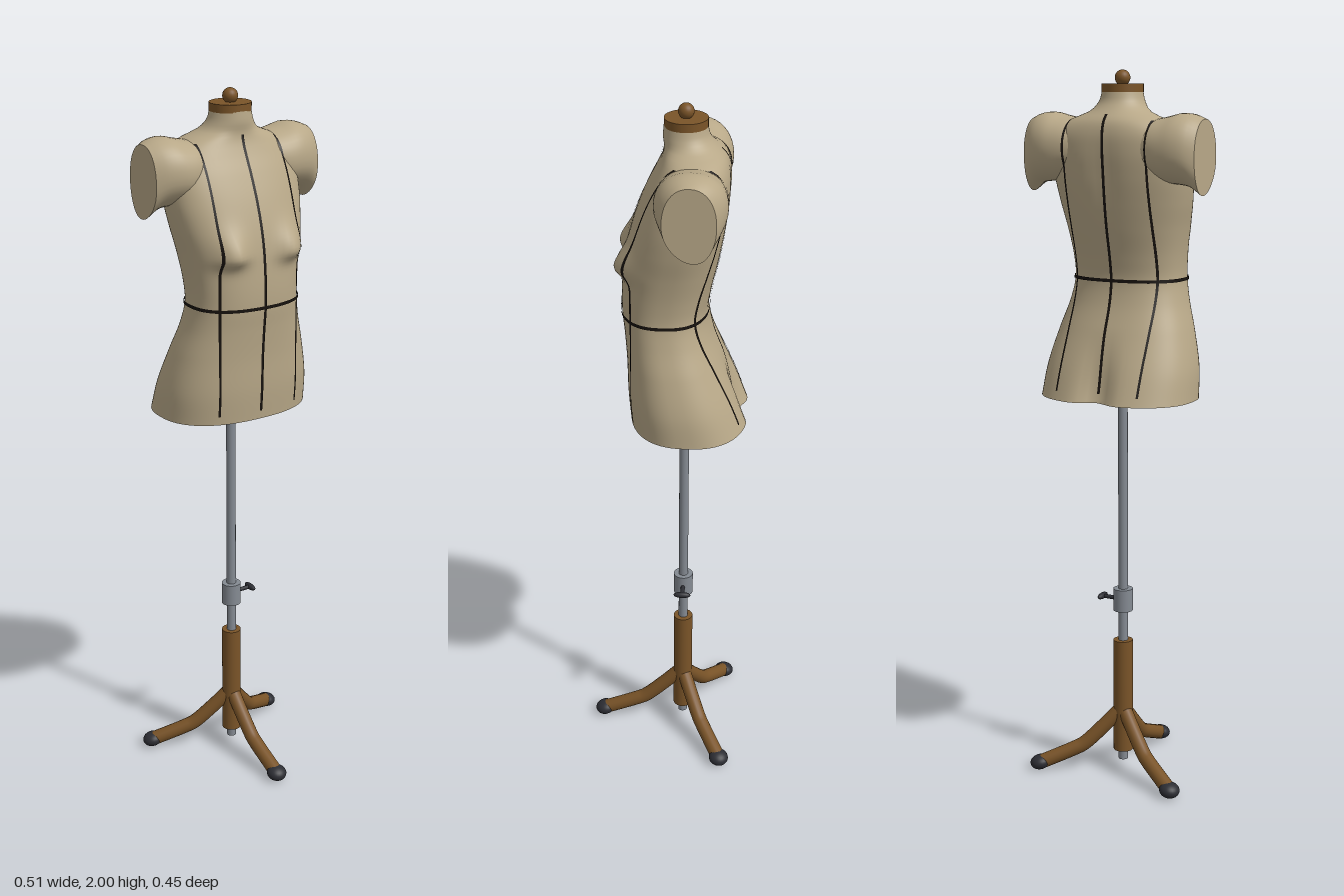
import * as THREE from 'three';

const mat = (name, color, side = THREE.FrontSide) => {
  const m = new THREE.MeshStandardMaterial({ color, side });
  m.name = name;
  return m;
};
const AXIS_Z = -0.046; // depth of the stand's axis
const SEG = 72;

// Skin a list of closed rings, optionally closing both ends with crisp caps
function loft(rings, caps = true) {
  const pos = [], idx = [], n = rings[0].length;
  rings.forEach(r => r.forEach(p => pos.push(...p)));
  for (let i = 0; i < rings.length - 1; i++) {
    for (let j = 0; j < n; j++) {
      const a = i * n + j, b = i * n + (j + 1) % n;
      idx.push(a, a + n, b, b, a + n, b + n);
    }
  }
  if (caps) [rings[0], rings[rings.length - 1]].forEach((r, end) => {
    const c = pos.length / 3;
    const mid = [0, 1, 2].map(k => r.reduce((s, p) => s + p[k], 0) / n);
    pos.push(...mid);
    r.forEach(p => pos.push(...p));
    for (let j = 0; j < n; j++) {
      const p = c + 1 + j, q = c + 1 + (j + 1) % n;
      idx.push(c, end ? q : p, end ? p : q);
    }
  });
  const g = new THREE.BufferGeometry();
  g.setAttribute('position', new THREE.Float32BufferAttribute(pos, 3));
  g.setIndex(idx);
  g.computeVertexNormals();
  return g;
}

const spline = rows => {
  const k = rows[0].length - 1;
  const f = new THREE.CubicInterpolant(rows.map(r => r[0]), rows.flatMap(r => r.slice(1)), k, new Array(k));
  return t => Array.from(f.evaluate(t));
};
const power = (v, n) => Math.sign(v) * Math.pow(Math.abs(v), 2 / n);

// Torso: height, half width, front z, back z, squareness
const torsoAt = spline([
  [1.115, 0.222, 0.100, -0.226, 2.4],
  [1.20, 0.216, 0.107, -0.193, 2.4],
  [1.30, 0.193, 0.110, -0.150, 2.4],
  [1.38, 0.169, 0.116, -0.120, 2.4],
  [1.44, 0.158, 0.122, -0.110, 2.4],
  [1.50, 0.160, 0.122, -0.118, 2.4],
  [1.58, 0.172, 0.115, -0.136, 2.4],
  [1.65, 0.187, 0.102, -0.150, 2.4],
  [1.72, 0.197, 0.080, -0.161, 2.4],
  [1.79, 0.195, 0.050, -0.166, 2.4],
  [1.84, 0.175, 0.025, -0.162, 2.3],
  [1.87, 0.135, 0.013, -0.150, 2.2],
  [1.89, 0.086, 0.010, -0.130, 2.1],
  [1.915, 0.064, 0.013, -0.110, 2],
  [1.945, 0.055, 0.011, -0.102, 2],
]);

function torsoRing(y, grow = 0) {
  const [w, zf, zb, n] = torsoAt(y);
  const zc = (zf + zb) / 2, d = (zf - zb) / 2;
  return Array.from({ length: SEG }, (_, j) => {
    const a = j / SEG * Math.PI * 2;
    const x = (w + grow) * power(Math.cos(a), n);
    let z = zc + (d + grow) * power(Math.sin(a), n);
    const side = Math.sin(a);
    if (side > 0) { // bust, with a sharper lower edge
      const dy = y - 1.585, h = dy > 0 ? 0.06 : 0.028;
      z += 0.034 * Math.min(1, side * 2) * Math.exp(-(((Math.abs(x) - 0.095) / 0.045) ** 2) - (dy / h) ** 2);
    } else { // cleft and spine hollow
      const low = THREE.MathUtils.smoothstep(1.32 - y, 0, 0.2);
      const high = Math.exp(-(((y - 1.74) / 0.1) ** 2));
      z += (0.033 * low + 0.007 * high) * Math.exp(-((x / 0.04) ** 2));
    }
    return [x, y, z];
  });
}

// Shoulder stump: x, top y, bottom y, front z, back z
const armAt = spline([
  [0.08, 1.862, 1.73, 0.000, -0.145],
  [0.125, 1.873, 1.715, 0.020, -0.158],
  [0.16, 1.880, 1.705, 0.026, -0.163],
  [0.195, 1.888, 1.702, 0.024, -0.163],
  [0.23, 1.884, 1.695, 0.014, -0.154],
  [0.257, 1.873, 1.674, 0.000, -0.137],
]);

function armGeometry(s) {
  const rings = [];
  for (let i = 0; i <= 16; i++) {
    const x = 0.08 + 0.177 * i / 16;
    const [top, bottom, zf, zb] = armAt(x);
    rings.push(Array.from({ length: 40 }, (_, j) => {
      const a = j / 40 * Math.PI * 2, c = Math.cos(a);
      const narrow = c < 0 ? 1 - 0.15 * c * c : 1; // slimmer toward the armpit
      return [s * x, (top + bottom) / 2 + (top - bottom) / 2 * power(c, 2.2),
        (zf + zb) / 2 - (c < 0 ? 0.012 * c * c : 0) - s * (zf - zb) / 2 * narrow * power(Math.sin(a), 2.2)];
    }));
  }
  return loft(rings);
}

// Narrow tape laid on the body along a line of constant x
function seamGeometry(x, face, top, half, body) {
  const ray = new THREE.Raycaster(), pos = [], idx = [];
  const hit = (px, y) => {
    ray.set(new THREE.Vector3(px, y, face), new THREE.Vector3(0, 0, -face));
    const h = ray.intersectObjects(body, false)[0];
    return h ? h.point.z + face * 0.003 : null;
  };
  for (let i = 0; i <= 70; i++) {
    const y = 1.14 + (top - 1.14) * i / 70;
    const l = hit(x - half, y), r = hit(x + half, y);
    if (l === null || r === null) continue;
    pos.push(x - half, y, l, x + half, y, r);
    const k = pos.length / 3 - 4;
    if (k >= 0) idx.push(...(face > 0 ? [k, k + 1, k + 2, k + 1, k + 3, k + 2] : [k, k + 2, k + 1, k + 1, k + 2, k + 3]));
  }
  const g = new THREE.BufferGeometry();
  g.setAttribute('position', new THREE.Float32BufferAttribute(pos, 3));
  g.setIndex(idx);
  g.computeVertexNormals();
  return g;
}

export function createModel() {
  const model = new THREE.Group();
  model.name = 'dressForm';
  const fabric = mat('fabric', 0xb8a888);
  const tape = mat('tape', 0x17120e, THREE.DoubleSide);
  const wood = mat('wood', 0x7a5428);
  const metal = mat('metal', 0x858b93);
  const rubber = mat('rubber', 0x2c2d33);

  const add = (name, geometry, material, x = 0, y = 0, z = 0, parent = model) => {
    const m = new THREE.Mesh(geometry, material);
    m.name = name;
    m.position.set(x, y, z);
    parent.add(m);
    return m;
  };

  // Body
  const rings = [];
  for (let i = 0; i <= 90; i++) rings.push(torsoRing(1.115 + 0.83 * i / 90));
  const body = [add('torso', loft(rings), fabric)];
  body.push(add('leftShoulder', armGeometry(1), fabric));
  body.push(add('rightShoulder', armGeometry(-1), fabric));

  // Tapes
  for (const face of [1, -1]) {
    const label = face > 0 ? 'front' : 'back';
    add(label + 'CentreSeam', seamGeometry(0, face, 1.885, 0.004, body), tape);
    for (const s of [1, -1]) {
      add(label + (s > 0 ? 'Left' : 'Right') + 'Seam', seamGeometry(s * 0.124, face, 1.868, 0.003, body), tape);
    }
  }
  add('waistTape', loft([torsoRing(1.4355, 0.003), torsoRing(1.4445, 0.003)], false), tape);

  // Neck cap and knob
  add('neckCap', new THREE.CylinderGeometry(0.057, 0.057, 0.022, 40), wood, 0, 1.952, AXIS_Z);
  add('knobStem', new THREE.CylinderGeometry(0.011, 0.014, 0.02, 20), wood, 0, 1.966, AXIS_Z);
  add('knob', new THREE.SphereGeometry(0.021, 24, 16), wood, 0, 1.979, AXIS_Z);

  // Stand
  add('pole', new THREE.CylinderGeometry(0.0135, 0.0135, 1.10, 24), metal, 0, 0.58, AXIS_Z);
  add('woodenSleeve', new THREE.CylinderGeometry(0.028, 0.028, 0.335, 28), wood, 0, 0.2275, AXIS_Z);
  add('collar', new THREE.CylinderGeometry(0.028, 0.028, 0.065, 28), metal, 0, 0.517, AXIS_Z);
  add('screw', new THREE.CylinderGeometry(0.006, 0.006, 0.045, 12), rubber, 0.045, 0.517, AXIS_Z).rotation.z = Math.PI / 2;
  add('screwKnob', new THREE.SphereGeometry(1, 20, 12), rubber, 0.067, 0.517, AXIS_Z).scale.set(0.009, 0.009, 0.025);

  // Three bent legs with rubber feet
  const path = new THREE.CatmullRomCurve3([[0.005, 0.185], [0.06, 0.128], [0.115, 0.077], [0.14, 0.064], [0.235, 0.024]]
    .map(([r, y]) => new THREE.Vector3(0, y, r)));
  ['frontLeg', 'backLeftLeg', 'backRightLeg'].forEach((name, i) => {
    const leg = new THREE.Group();
    leg.name = name;
    leg.position.z = AXIS_Z;
    leg.rotation.y = i * Math.PI * 2 / 3;
    model.add(leg);
    add('legTube', new THREE.TubeGeometry(path, 30, 0.021, 18), wood, 0, 0, 0, leg);
    const foot = add('foot', new THREE.SphereGeometry(0.029, 24, 16), rubber, 0, 0.022, 0.243, leg);
    foot.scale.y = 0.72;
    foot.rotation.x = 0.2;
  });
  return model;
}
